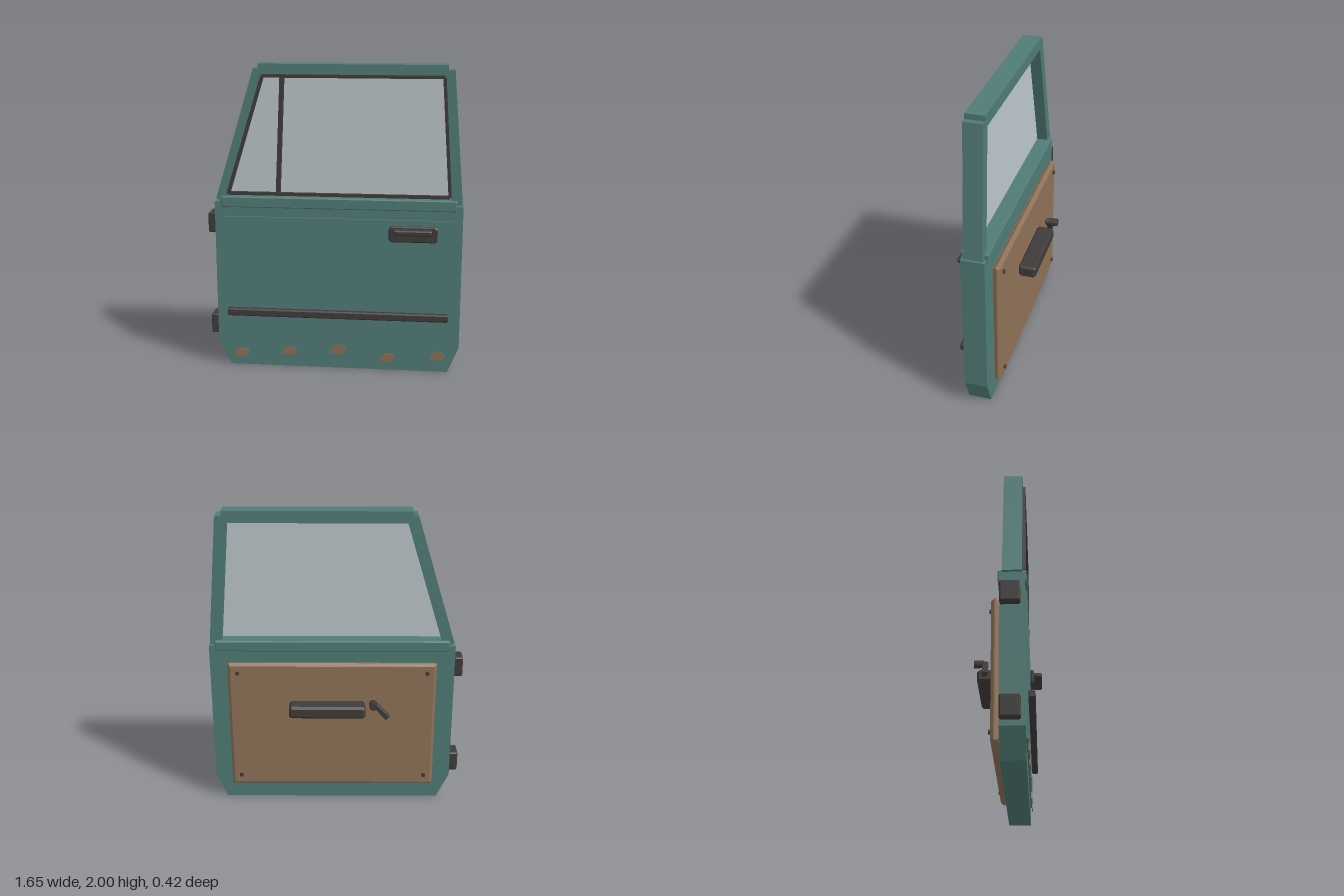
import * as THREE from 'three';

const mat = (name, color) => {
  const m = new THREE.MeshStandardMaterial({ color });
  m.name = name;
  return m;
};

export function createModel() {
  const door = new THREE.Group();
  door.name = 'vehicleDoor';
  const paint = mat('teal paint', 0x507b76);
  const dark = mat('dark rubber', 0x403b3b);
  const brown = mat('brown trim and rust', 0x8e7157);
  const glass = mat('pale glass', 0xbcc6cb);

  const add = (name, geometry, material, parent = door) => {
    const mesh = new THREE.Mesh(geometry, material);
    mesh.name = name;
    parent.add(mesh);
    return mesh;
  };
  const group = (name) => {
    const g = new THREE.Group();
    g.name = name;
    door.add(g);
    return g;
  };

  // Flat outline extruded between two z planes, with optional chamfer
  const slab = (points, z0, z1, c = 0) => {
    const shape = new THREE.Shape(points.map(([x, y]) => new THREE.Vector2(x, y)));
    const g = new THREE.ExtrudeGeometry(shape, {
      depth: z1 - z0 - 2 * c, bevelEnabled: c > 0,
      bevelSize: c, bevelOffset: -c, bevelThickness: c, bevelSegments: 1,
    });
    return g.translate(0, 0, z0 + c);
  };
  // Block from its limits; the four corners are clipped by k
  const block = (x0, x1, y0, y1, z0, z1, c = 0, k = c) => slab(k > 0 ? [
    [x0 + k, y0], [x1 - k, y0], [x1, y0 + k], [x1, y1 - k],
    [x1 - k, y1], [x0 + k, y1], [x0, y1 - k], [x0, y0 + k],
  ] : [[x0, y0], [x1, y0], [x1, y1], [x0, y1]], z0, z1, c);
  // Straight bar between two points in the door plane
  const bar = ([ax, ay], [bx, by], width, z0, z1, c = 0) => {
    const len = Math.hypot(bx - ax, by - ay);
    return block(-width / 2, width / 2, -len / 2, len / 2, z0, z1, c)
      .rotateZ(Math.atan2(ax - bx, by - ay))
      .translate((ax + bx) / 2, (ay + by) / 2, 0);
  };
  // Short round pin along z
  const pin = (x, y, r, z0, z1, sides = 12) =>
    new THREE.CylinderGeometry(r, r, z1 - z0, sides).rotateX(Math.PI / 2).translate(x, y, (z0 + z1) / 2);

  // Lower door shell, raised outer skin and sill
  add('doorShell', slab([[-0.69, 0], [0.75, 0], [0.822, 0.17], [0.822, 1.118],
    [-0.772, 1.118], [-0.772, 0.17]], -0.03, 0.117), paint);
  add('outerSkin', slab([[-0.70, 0.12], [0.745, 0.12], [0.765, 1.025], [-0.712, 1.025]], 0.11, 0.13), paint);
  add('windowSill', block(-0.732, 0.783, 1.085, 1.155, -0.043, 0.126, 0.006), paint);

  // Window frame
  const frame = group('windowFrame');
  add('frontPillar', bar([-0.729, 1.124], [-0.469, 1.964], 0.075, -0.018, 0.1), paint, frame);
  add('rearPillar', bar([0.78, 1.122], [0.708, 1.967], 0.075, -0.018, 0.1), paint, frame);
  add('topRail', block(-0.475, 0.705, 1.925, 2, -0.018, 0.103), paint, frame);

  // Glass pane and its rubber seal
  const corners = [[-0.682, 1.176], [0.736, 1.176], [0.682, 1.926], [-0.447, 1.926]];
  add('windowGlass', slab([[-0.72, 1.14], [0.76, 1.14], [0.7, 1.95], [-0.46, 1.95]], 0.055, 0.063), glass);
  const seal = group('windowSeal');
  corners.forEach((p, i) => add('sealStrip', bar(p, corners[(i + 1) % 4], 0.02, 0.095, 0.12), dark, seal));
  add('quarterWindowBar', bar([-0.36, 1.17], [-0.325, 1.93], 0.024, 0.06, 0.118), dark, seal);

  // Hinges on the leading edge
  for (const y of [0.205, 0.905])
    add('hinge', block(-0.825, -0.765, y, y + 0.133, -0.03, 0.09, 0.008), dark);

  // Rub strip and outer handle
  add('rubStrip', block(-0.697, 0.747, 0.36, 0.41, 0.128, 0.17, 0.008), dark);
  const handle = group('outerHandle');
  add('handlePlate', block(0.355, 0.665, 0.886, 0.99, 0.128, 0.155, 0.008, 0.015), dark, handle);
  add('handleGrip', block(0.385, 0.627, 0.942, 0.977, 0.15, 0.208, 0.008), dark, handle);
  add('lockButton', pin(0.635, 0.905, 0.012, 0.15, 0.165), dark, handle);

  // Rust patches along the lower edge
  const patch = [[-0.052, -0.028], [0.03, -0.03], [0.055, 0.004], [0.018, 0.034], [-0.02, 0.026], [-0.04, 0.008]];
  [[-0.62, 0.092, 1], [-0.295, 0.114, 0.95], [0.03, 0.135, 1.03], [0.355, 0.092, 0.95], [0.682, 0.114, 0.95]]
    .forEach(([x, y, s]) => add('rustPatch',
      slab(patch.map(([px, py]) => [x + px * s, y + py * s]), 0.127, 0.134), brown));

  // Inner trim panel with screws
  add('innerPanel', block(-0.652, 0.705, 0.125, 1.015, -0.085, -0.04, 0.018, 0.01), brown);
  add('panelBacking', block(-0.62, 0.67, 0.16, 0.98, -0.045, -0.025), brown);
  for (const x of [-0.59, 0.64])
    for (const y of [0.2, 0.952]) add('panelScrew', pin(x, y, 0.013, -0.098, -0.08), dark);

  // Armrest and window crank
  add('armrest', block(-0.19, 0.305, 0.675, 0.758, -0.197, -0.083, 0.015), dark);
  const crank = group('windowCrank');
  add('crankArm', bar([-0.238, 0.772], [-0.338, 0.66], 0.034, -0.158, -0.122, 0.005), dark, crank);
  add('crankKnob', pin(-0.24, 0.768, 0.026, -0.21, -0.15, 8), dark, crank);

  // Centre the door along x and z
  const box = new THREE.Box3().setFromObject(door);
  const root = new THREE.Group();
  root.name = 'doorModel';
  door.position.set(-(box.min.x + box.max.x) / 2, 0, -(box.min.z + box.max.z) / 2);
  root.add(door);
  return root;
}
